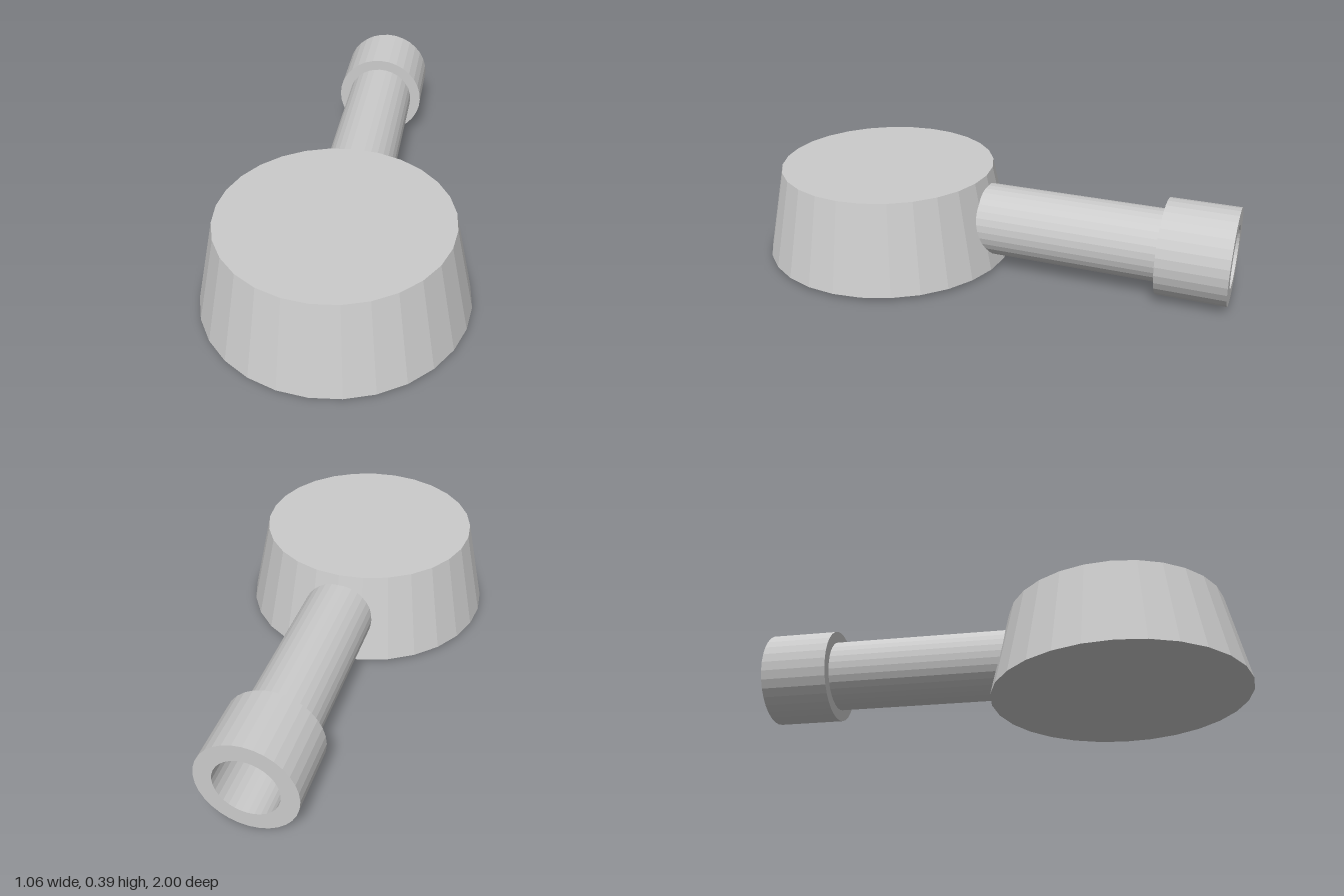
import * as THREE from 'three';

const BODY_Z = 0.472, AXIS_Y = 0.195;

export function createModel() {
  const group = new THREE.Group();
  const material = new THREE.MeshStandardMaterial({ color: 0xcccccc, flatShading: true });

  // Tapered round body
  const body = new THREE.Mesh(new THREE.CylinderGeometry(0.45, 0.528, 0.37, 28), material);
  body.name = 'body';
  body.position.set(0, 0.2, BODY_Z);
  group.add(body);

  // Hollow pipe with a thicker collar: outer wall, open end and bore in one profile
  const profile = [
    [0.147, -0.1], [0.147, 0.724], [0.194, 0.724], [0.194, 1], [0.125, 1], [0.125, -0.1],
  ].map(([r, d]) => new THREE.Vector2(r, d));
  const pipe = new THREE.Mesh(new THREE.LatheGeometry(profile, 32), material);
  pipe.name = 'pipeWithCollar';
  pipe.rotation.x = -Math.PI / 2;
  pipe.position.y = AXIS_Y;
  group.add(pipe);

  return group;
}
